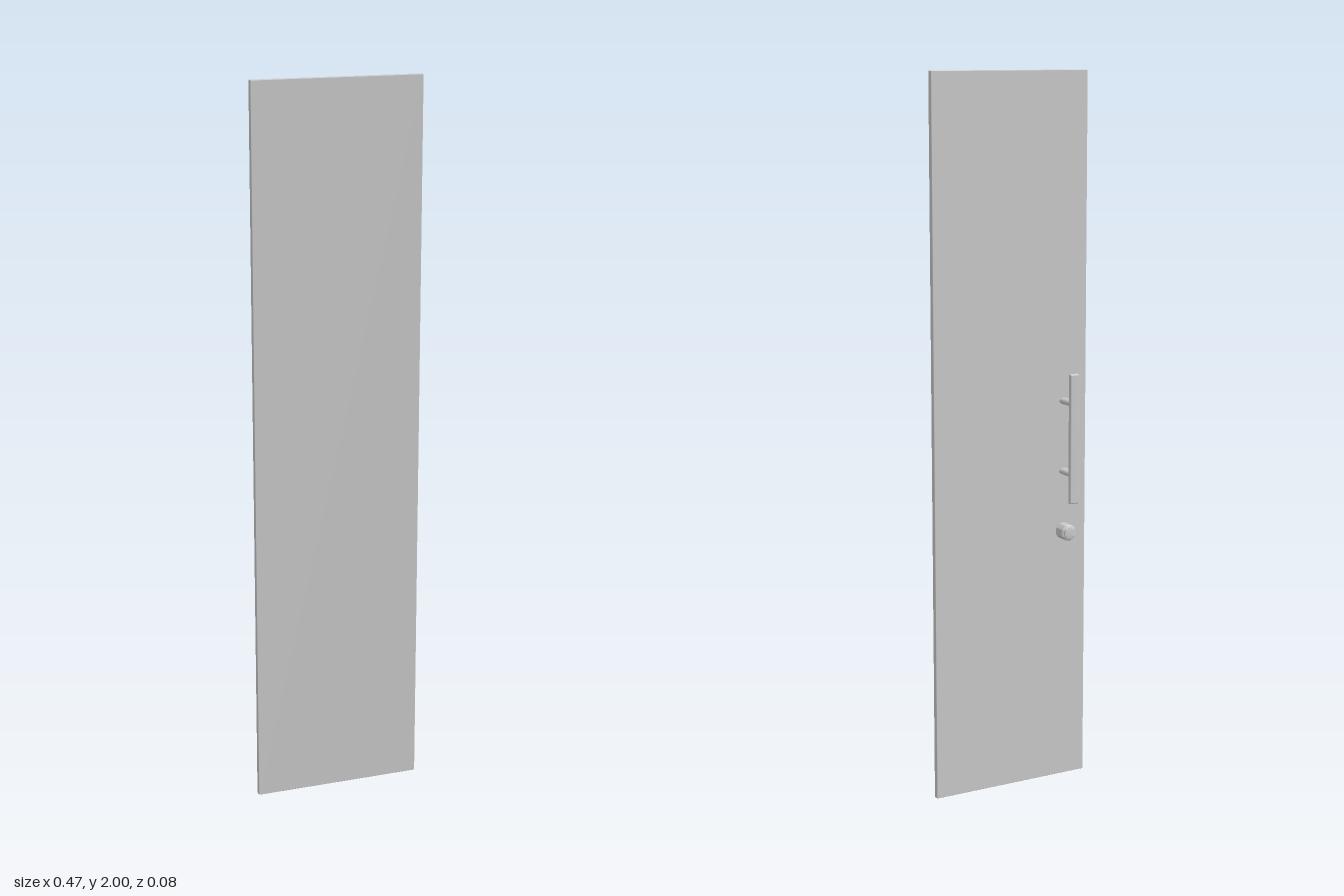
import * as THREE from 'three';
import { RoundedBoxGeometry } from 'three/addons/geometries/RoundedBoxGeometry.js';
import { toCreasedNormals } from 'three/addons/utils/BufferGeometryUtils.js';

const material = new THREE.MeshStandardMaterial({ color: 0xcccccc });
const HARDWARE_X = -0.167;
const BACK_Z = 0.021; // back face of the panel

function add(group, name, geometry, x, y, z) {
  const mesh = new THREE.Mesh(geometry, material);
  mesh.name = name;
  mesh.position.set(x, y, z);
  group.add(mesh);
  return mesh;
}

export function createModel() {
  const door = new THREE.Group();
  door.name = 'door';

  // Thin slab with slightly eased edges
  add(door, 'doorPanel', new RoundedBoxGeometry(0.474, 2, 0.016, 1, 0.0015), 0, 1, 0.029);

  // Pull handle: flat bar on two oval posts
  const handle = new THREE.Group();
  handle.name = 'pullHandle';
  door.add(handle);
  add(handle, 'handleBar', new RoundedBoxGeometry(0.028, 0.366, 0.013, 3, 0.004), HARDWARE_X, 0.997, -0.0335);

  const postGeometry = new THREE.CylinderGeometry(0.014, 0.014, 0.052, 24);
  postGeometry.rotateX(-Math.PI / 2);
  postGeometry.scale(1, 0.65, 1);
  for (const y of [0.897, 1.097]) {
    add(handle, 'handlePost', postGeometry, HARDWARE_X, y, BACK_Z - 0.026);
  }

  // Round lock knob with a stepped, chamfered face
  const profile = [
    [0.023, 0], [0.023, 0.032], [0.021, 0.034], [0.017, 0.035], [0.016, 0.038], [0, 0.039],
  ].map(([r, h]) => new THREE.Vector2(r, h));
  const knobGeometry = toCreasedNormals(new THREE.LatheGeometry(profile, 32), 0.6);
  knobGeometry.rotateX(-Math.PI / 2);
  add(door, 'lockKnob', knobGeometry, -0.166, 0.725, BACK_Z);

  return door;
}
